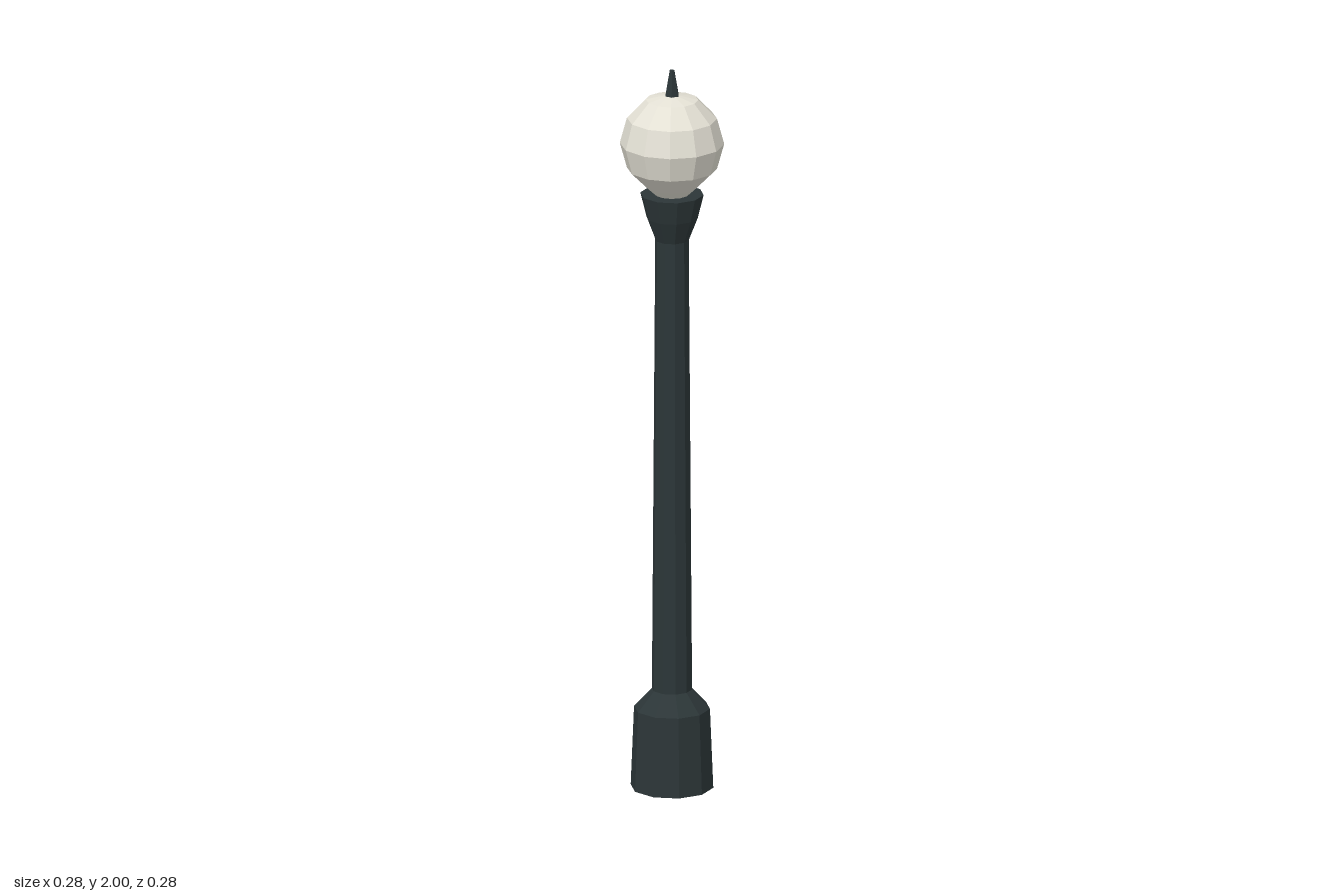
import * as THREE from 'three';

const iron = new THREE.MeshStandardMaterial({ name: 'darkIron', color: 0x2c3638, flatShading: true });
const glass = new THREE.MeshStandardMaterial({ name: 'frostedGlass', color: 0xe4e1d5, flatShading: true });

// Faceted solid of revolution, profile given as [radius, height] from bottom to top
function turned(name, profile, sides, material) {
  const points = profile.map(([r, y]) => new THREE.Vector2(r, y));
  const geometry = new THREE.LatheGeometry(points, sides).rotateY(Math.PI / 2).toNonIndexed();
  geometry.computeVertexNormals();
  const mesh = new THREE.Mesh(geometry, material);
  mesh.name = name;
  return mesh;
}

export function createModel() {
  const lamp = new THREE.Group();
  lamp.name = 'streetLamp';

  // Heavy foot with a sloping shoulder
  lamp.add(turned('base', [[0, 0], [0.111, 0], [0.102, 0.22], [0.054, 0.272], [0, 0.272]], 10, iron));

  // Slender tapering post
  lamp.add(turned('post', [[0.054, 0.27], [0.045, 1.53]], 10, iron));

  // Flared cup that carries the globe
  lamp.add(turned('collar', [[0, 1.525], [0.044, 1.525], [0.069, 1.59], [0.085, 1.655], [0, 1.655]], 10, iron));

  // Glass globe with a neck seated in the cup
  lamp.add(turned('globe', [
    [0, 1.645], [0.04, 1.65], [0.07, 1.677], [0.12, 1.727], [0.139, 1.796],
    [0.12, 1.866], [0.07, 1.918], [0, 1.934],
  ], 12, glass));

  // Small spike on top
  lamp.add(turned('finial', [[0, 1.925], [0.021, 1.925], [0.007, 2], [0, 2]], 6, iron));

  return lamp;
}
